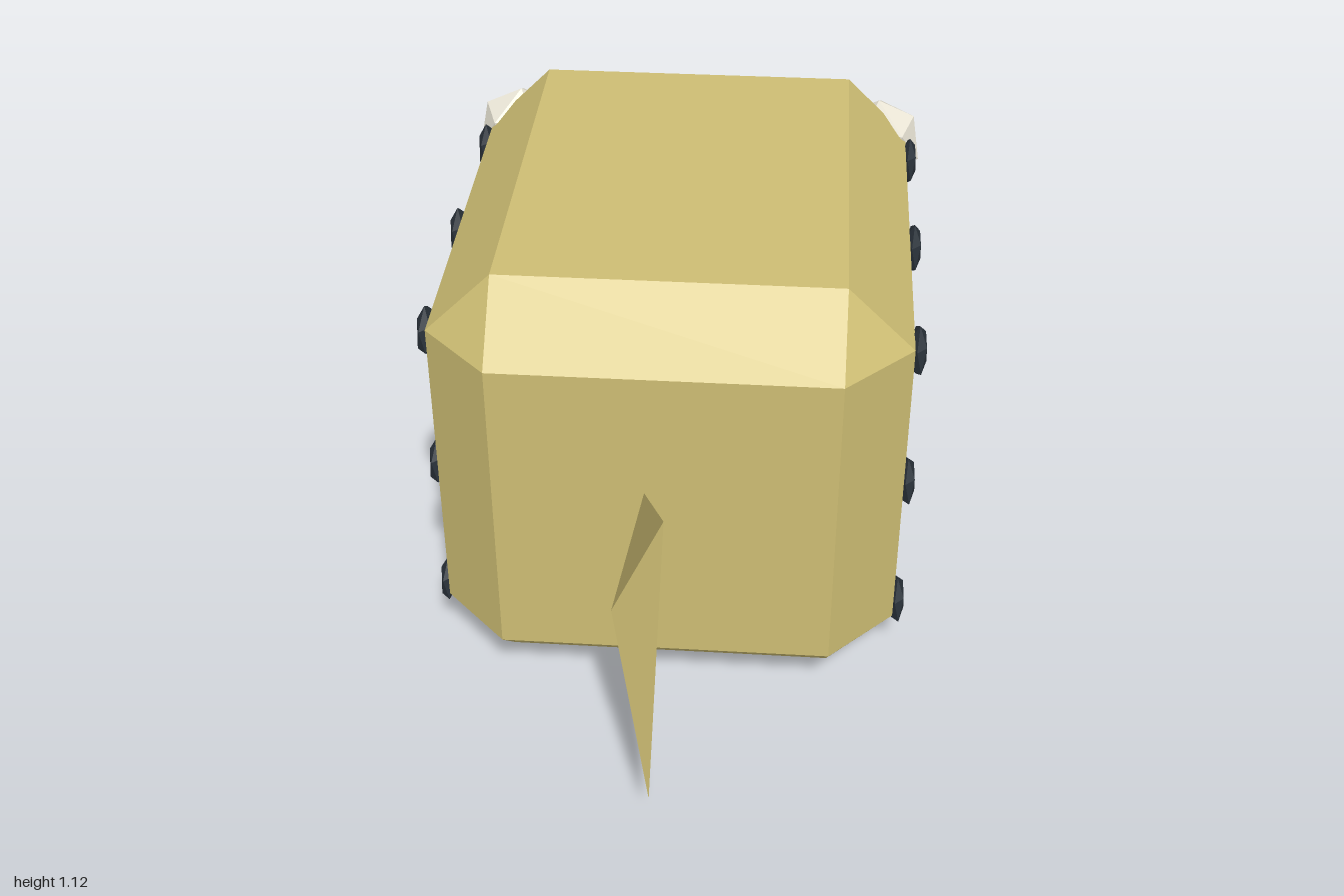
import * as THREE from 'three';
import { ConvexGeometry } from 'three/addons/geometries/ConvexGeometry.js';

const material = (color) => new THREE.MeshStandardMaterial({ color, flatShading: true, side: THREE.DoubleSide });

// Box with flat chamfers and triangular corners
function chamferedBox(hx, hy, hz, c) {
  const points = [];
  for (const sx of [-1, 1]) for (const sy of [-1, 1]) for (const sz of [-1, 1]) {
    points.push(
      new THREE.Vector3(sx * hx, sy * (hy - c), sz * (hz - c)),
      new THREE.Vector3(sx * (hx - c), sy * hy, sz * (hz - c)),
      new THREE.Vector3(sx * (hx - c), sy * (hy - c), sz * hz));
  }
  return new ConvexGeometry(points);
}

// Icosahedron with its poles on the y axis
function poleIcosahedron() {
  const points = [new THREE.Vector3(0, 1, 0), new THREE.Vector3(0, -1, 0)];
  const r = 2 / Math.sqrt(5), h = 1 / Math.sqrt(5);
  for (let i = 0; i < 5; i++) {
    const a = i * Math.PI * 2 / 5;
    points.push(
      new THREE.Vector3(-r * Math.cos(a), h, r * Math.sin(a)),
      new THREE.Vector3(r * Math.cos(a), -h, r * Math.sin(a)));
  }
  return new ConvexGeometry(points);
}

export function createModel() {
  const model = new THREE.Group();
  model.name = 'boxFish';
  const tan = material(0xcdbd73), dark = material(0x2a323a), white = material(0xeae5d6);
  const ball = poleIcosahedron();

  function add(name, geometry, mat, position, scale = [1, 1, 1], parent = model) {
    const mesh = new THREE.Mesh(geometry, mat);
    mesh.name = name;
    mesh.position.set(...position);
    mesh.scale.set(...scale);
    parent.add(mesh);
    return mesh;
  }

  add('body', chamferedBox(0.558, 0.56, 0.672, 0.158), tan, [0, 0.56, -0.117]);
  add('mouth', ball, tan, [0, 0.431, -0.877], [0.2, 0.131, 0.145]);

  // Tail: two thin fins folded along the middle
  const tail = new THREE.BufferGeometry();
  tail.setAttribute('position', new THREE.Float32BufferAttribute([
    0, 0.56, 0.555, 0, 1.005, 1, -0.09, 0.56, 0.865,
    0, 0.56, 0.555, -0.09, 0.56, 0.865, 0, 0.115, 1,
  ], 3));
  tail.computeVertexNormals();
  add('tail', tail, tan, [0, 0, 0]);

  for (const side of [-1, 1]) {
    const label = side > 0 ? 'left' : 'right';

    // Three by three grid of spots on each flank
    const spots = new THREE.Group();
    spots.name = label + 'Spots';
    model.add(spots);
    for (const y of [0.16, 0.54, 0.92]) for (const z of [0.333, -0.115, -0.562]) {
      add('spot', ball, dark, [side * 0.569, y, z], [0.0225, 0.066, 0.066], spots);
    }

    // Eye lies on the corner chamfer, leaning back, with the pupil at its rear
    const turn = side > 0 ? Math.PI / 4 : Math.PI * 3 / 4;
    const eye = add(label + 'Eye', ball, white, [side * 0.503, 0.935, -0.675], [0.085, 0.117, 0.117]);
    eye.rotation.set(0, turn, 0.24);
    const pupil = add(label + 'Pupil', ball, dark, [side * 0.478, 0.923, -0.765], [0.05, 0.057, 0.06]);
    pupil.rotation.set(0, turn, 0.24);
  }
  return model;
}
